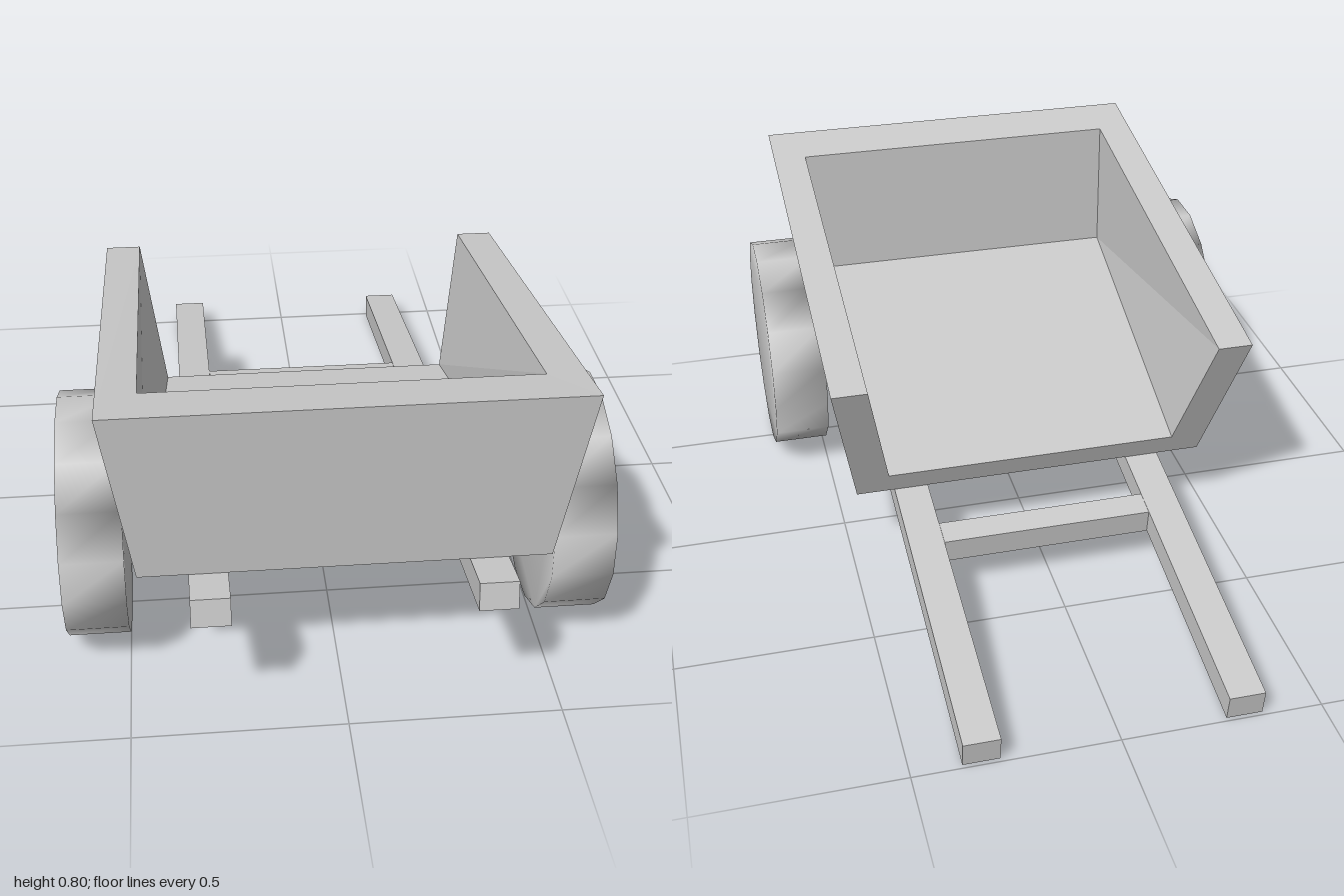
import * as THREE from 'three';
import { mergeVertices } from 'three/addons/utils/BufferGeometryUtils.js';

const material = new THREE.MeshStandardMaterial({ color: 0xcccccc });

function addMesh(parent, name, geometry, x = 0, y = 0, z = 0) {
  const mesh = new THREE.Mesh(geometry, material);
  mesh.name = name;
  mesh.position.set(x, y, z);
  parent.add(mesh);
  return mesh;
}

// Open-backed tray: flared walls of real thickness, as one closed shell
function trayGeometry() {
  // Corners of the +x half; the other half is mirrored
  const corner = {
    rimFront: [0.543, 0.797, 0.91], rimBack: [0.543, 0.608, -0.32],
    baseFront: [0.474, 0.357, 0.873], baseBack: [0.474, 0.2, -0.155],
    innerRimFront: [0.452, 0.775, 0.77], innerRimBack: [0.452, 0.608, -0.32],
    floorFront: [0.452, 0.407, 0.77], floorBack: [0.39, 0.262, -0.18],
  };
  const at = (key, side) => [side * corner[key][0], corner[key][1], corner[key][2]];
  const positions = [];
  const quad = (a, b, c, d) => positions.push(...a, ...b, ...c, ...a, ...c, ...d);

  // Side wall faces, mirrored
  const sideFaces = [
    ['baseFront', 'baseBack', 'rimBack', 'rimFront'],
    ['floorBack', 'floorFront', 'innerRimFront', 'innerRimBack'],
    ['innerRimFront', 'rimFront', 'rimBack', 'innerRimBack'],
    ['baseBack', 'floorBack', 'innerRimBack', 'rimBack'],
  ];
  for (const face of sideFaces) {
    quad(...face.map((key) => at(key, 1)));
    quad(...face.map((key) => at(key, -1)).reverse());
  }

  // Faces that span from side to side: first edge -x to +x, second edge back
  const span = (p, q) => quad(at(p, -1), at(p, 1), at(q, 1), at(q, -1));
  span('baseFront', 'rimFront');
  span('rimFront', 'innerRimFront');
  span('innerRimFront', 'floorFront');
  span('floorFront', 'floorBack');
  span('floorBack', 'baseBack');
  span('baseBack', 'baseFront');

  const geometry = new THREE.BufferGeometry();
  geometry.setAttribute('position', new THREE.Float32BufferAttribute(positions, 3));
  geometry.computeVertexNormals();
  return geometry;
}

// Solid 16-sided disc, smooth shaded over its rim, axle along x
function wheelGeometry(radius, width, sides = 16) {
  const outline = [];
  for (let i = 0; i < sides; i++) {
    const a = ((i + 0.5) / sides) * Math.PI * 2;
    outline.push(new THREE.Vector2(Math.cos(a) * radius, Math.sin(a) * radius));
  }
  const disc = new THREE.ExtrudeGeometry(new THREE.Shape(outline), { depth: width, bevelEnabled: false });
  disc.translate(0, 0, -width / 2).rotateY(Math.PI / 2);
  disc.deleteAttribute('uv');
  disc.deleteAttribute('normal');
  const smooth = mergeVertices(disc, 1e-4);
  smooth.computeVertexNormals();
  return smooth;
}

export function createModel() {
  const cart = new THREE.Group();
  cart.name = 'handcart';

  addMesh(cart, 'tray', trayGeometry(), 0.005);

  // Sloping frame: two shafts joined by a crossbar
  const frame = new THREE.Group();
  frame.name = 'frame';
  frame.position.y = 0.1875;
  frame.rotation.x = -0.153;
  cart.add(frame);
  const shaft = new THREE.BoxGeometry(0.09, 0.069, 2.013);
  addMesh(frame, 'leftShaft', shaft, 0.333);
  addMesh(frame, 'rightShaft', shaft, -0.308);
  addMesh(frame, 'crossbar', new THREE.BoxGeometry(0.55, 0.069, 0.071), 0.0125, 0, -0.334);

  // Wheels
  const wheel = wheelGeometry(0.297, 0.148);
  addMesh(cart, 'leftWheel', wheel, 0.571, 0.307, 0.53);
  addMesh(cart, 'rightWheel', wheel, -0.571, 0.307, 0.53);

  return cart;
}
